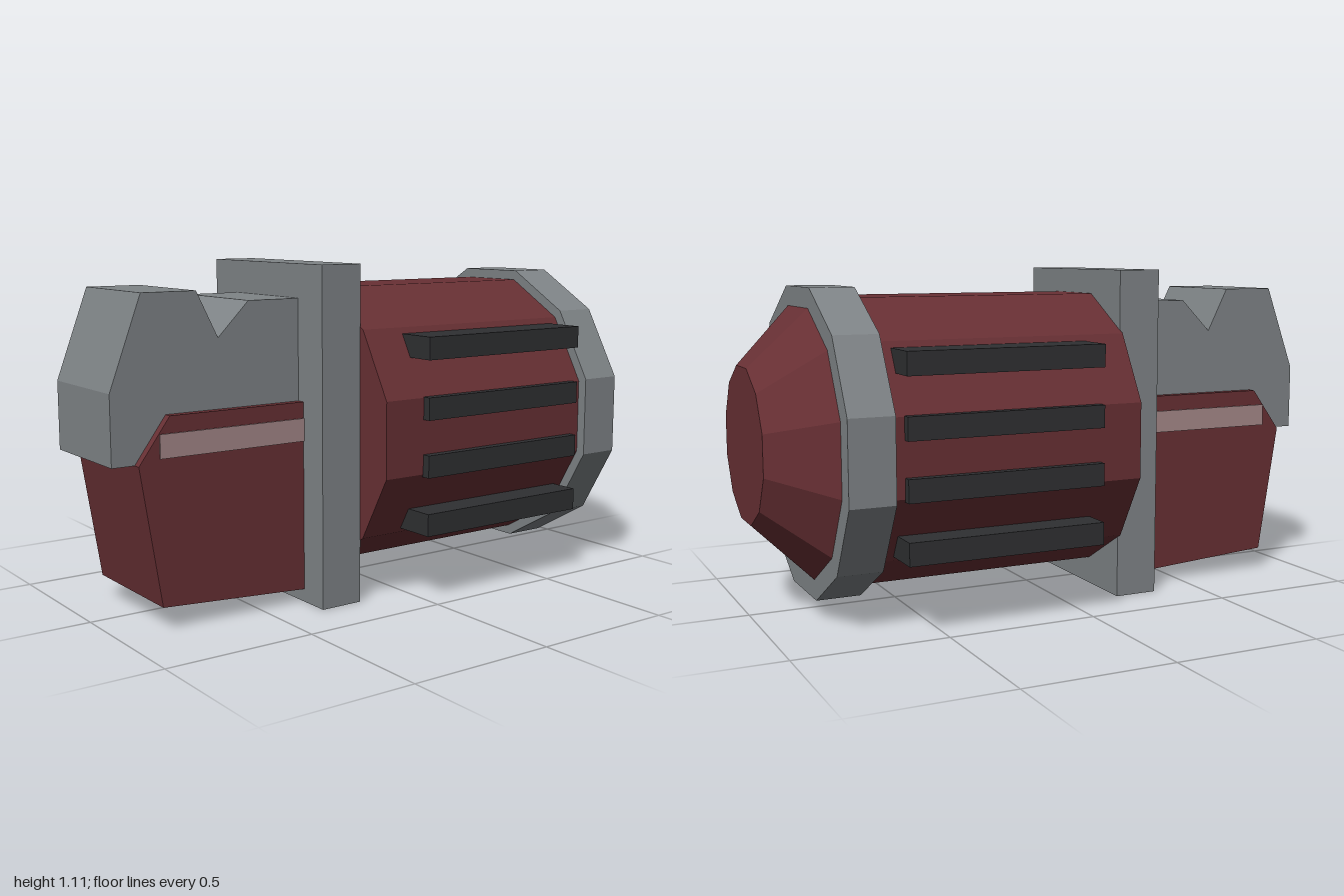
import * as THREE from 'three';

const AXIS_Y = 0.56;
const material = (color) => new THREE.MeshStandardMaterial({ color, flatShading: true });

export function createModel() {
  const model = new THREE.Group();
  model.name = 'connector';
  const red = material(0x683034);
  const grey = material(0x7f8487);
  const dark = material(0x2f3032);
  const pale = material(0xa58889);

  const add = (name, geometry, mat) => {
    const mesh = new THREE.Mesh(geometry, mat);
    mesh.name = name;
    model.add(mesh);
    return mesh;
  };

  // Box given by its limits on each axis
  const box = (name, mat, [x0, x1], [y0, y1], [z0, z1]) =>
    add(name, new THREE.BoxGeometry(x1 - x0, y1 - y0, z1 - z0), mat)
      .position.set((x0 + x1) / 2, (y0 + y1) / 2, (z0 + z1) / 2);

  // Twelve-sided drum along x, sized by its flat-to-centre distance
  const drum = (name, mat, x0, x1, flat0, flat1) => {
    const k = 1 / Math.cos(Math.PI / 12);
    const g = new THREE.CylinderGeometry(flat1 * k, flat0 * k, x1 - x0, 12, 1, false, Math.PI / 12);
    g.rotateZ(-Math.PI / 2);
    add(name, g, mat).position.set((x0 + x1) / 2, AXIS_Y, 0);
  };

  // Side profile extruded symmetrically across z
  const slab = (name, mat, points, halfDepth) => {
    const shape = new THREE.Shape(points.map(([x, y]) => new THREE.Vector2(x, y)));
    const g = new THREE.ExtrudeGeometry(shape, { depth: halfDepth * 2, bevelEnabled: false });
    g.translate(0, 0, -halfDepth);
    add(name, g, mat);
  };

  // Main barrel, collar and tapered nose
  drum('barrel', red, -0.19, 0.665, 0.467, 0.467);
  drum('collar', grey, 0.665, 0.813, 0.5, 0.5);
  drum('nose', red, 0.813, 1, 0.435, 0.25);

  // Cooling fins on both sides
  for (const y of [0.27, 0.463, 0.651, 0.845]) {
    for (const z of [[0.3, 0.495], [-0.495, -0.3]]) {
      box('fin', dark, [-0.04, 0.626], [y - 0.037, y + 0.037], z);
    }
  }

  // Mounting plate
  box('mountPlate', grey, [-0.337, -0.188], [0, 1.11], [-0.326, 0.326]);

  // Notched upper block
  slab('notchedBlock', grey, [
    [-1, 0.523], [-0.335, 0.523], [-0.335, 1], [-0.522, 1],
    [-0.632, 0.89], [-0.706, 1.037], [-0.891, 1.037], [-1, 0.745],
  ], 0.19);

  // Lower housing with a pale stripe on each side
  slab('lowerHousing', red, [
    [-0.855, 0.077], [-0.335, 0.043], [-0.335, 0.668], [-0.818, 0.668], [-0.925, 0.523],
  ], 0.218);
  for (const z of [[0.21, 0.223], [-0.223, -0.21]]) {
    box('sideStripe', pale, [-0.855, -0.335], [0.54, 0.615], z);
  }

  return model;
}
